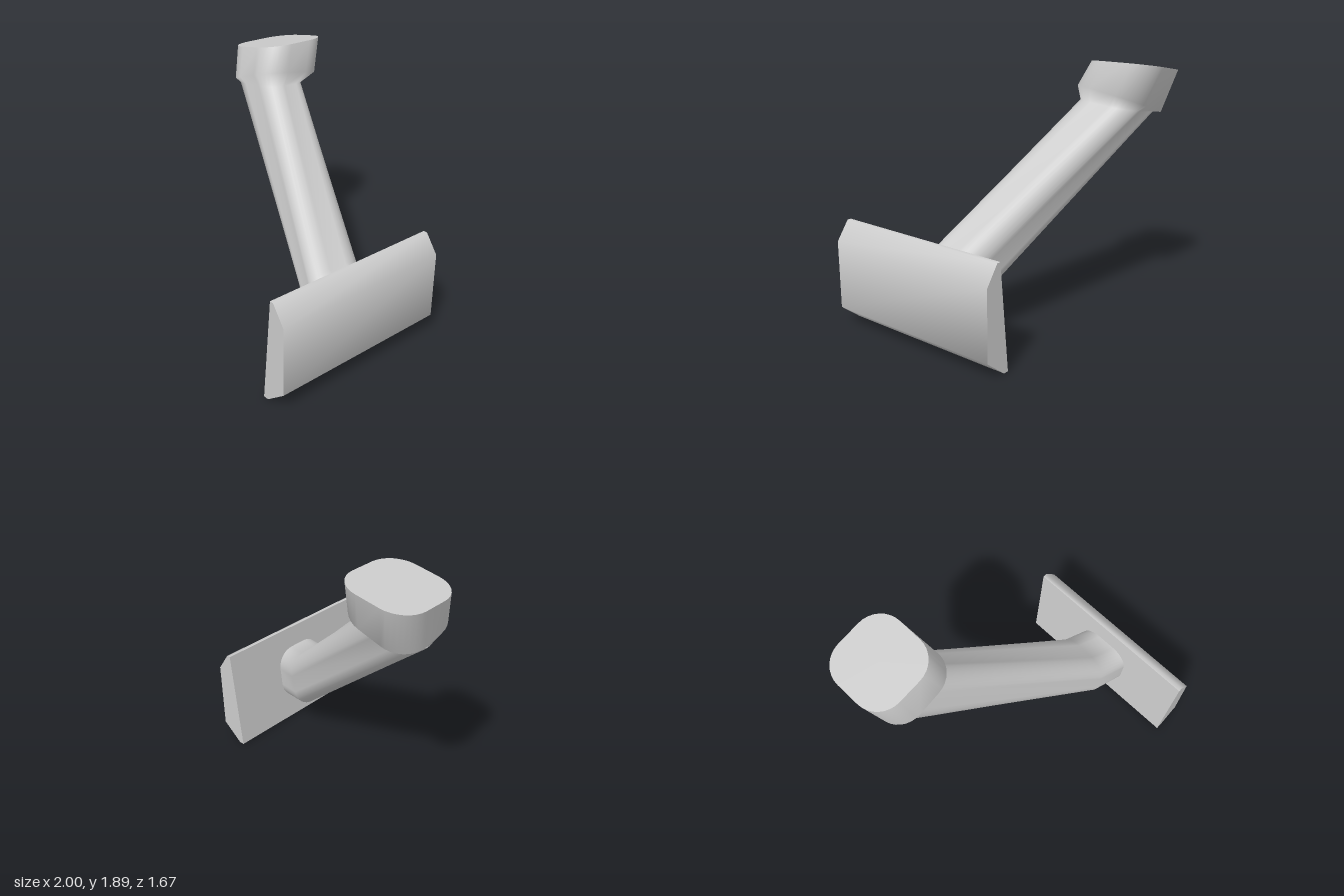
import * as THREE from 'three';
import { toCreasedNormals } from 'three/addons/utils/BufferGeometryUtils.js';

const material = new THREE.MeshStandardMaterial({ color: 0xcccccc });

// Unit rounded square as [u, v] pairs, running round from the u axis
function roundedSquare(radius = 0.68, steps = 8) {
  const points = [];
  const flat = 1 - radius;
  for (let corner = 0; corner < 4; corner++) {
    const mid = (corner + 0.5) * Math.PI / 2;
    const cu = Math.sign(Math.cos(mid)) * flat;
    const cv = Math.sign(Math.sin(mid)) * flat;
    for (let i = 0; i <= steps; i++) {
      const a = (corner + i / steps) * Math.PI / 2;
      points.push([cu + radius * Math.cos(a), cv + radius * Math.sin(a)]);
    }
  }
  return points;
}

const section = roundedSquare();

// Each ring has a centre and two half-width vectors, u and v
const rings = [
  { c: [0.84, 0.395, 0.12], u: [0.02, 0.215, 0], v: [0, 0, 0.22] },
  { c: [0.625, 0.43, 0.06], u: [0.045, 0.21, 0], v: [-0.01, 0, 0.22] },
  { c: [-0.68, 1.545, -0.44], u: [0.245, 0.035, 0], v: [0.04, 0.03, 0.216] },
  { c: [-0.66, 1.6, -0.47], u: [0.27, 0.085, 0], v: [0, 0.045, 0.28] },
  { c: [-0.7225, 1.8475, -0.555], u: [0.2775, 0.0475, 0], v: [0, 0, 0.285] },
];

function ringPoints({ c, u, v }) {
  return section.flatMap(([p, q]) => c.map((value, k) => value + u[k] * p + v[k] * q));
}

function makeGeometry(positions, index) {
  const geometry = new THREE.BufferGeometry();
  geometry.setAttribute('position', new THREE.Float32BufferAttribute(positions, 3));
  geometry.setIndex(index);
  geometry.computeVertexNormals();
  return geometry;
}

// Smooth skin through all rings
function loft() {
  const n = section.length;
  const index = [];
  for (let i = 0; i < rings.length - 1; i++) {
    for (let j = 0; j < n; j++) {
      const a = i * n + j, b = i * n + (j + 1) % n;
      index.push(a, a + n, b, b, a + n, b + n);
    }
  }
  return makeGeometry(rings.flatMap(ringPoints), index);
}

// Flat fan closing one ring
function cap(ring, atStart) {
  const n = section.length;
  const index = [];
  for (let j = 0; j < n; j++) {
    const a = j + 1, b = (j + 1) % n + 1;
    index.push(0, ...(atStart ? [a, b] : [b, a]));
  }
  return makeGeometry([...ring.c, ...ringPoints(ring)], index);
}

function addMesh(parent, name, geometry) {
  const mesh = new THREE.Mesh(geometry, material);
  mesh.name = name;
  parent.add(mesh);
  return mesh;
}

export function createModel() {
  const model = new THREE.Group();
  model.name = 'bracket';

  // Bent arm with its widened head
  const arm = new THREE.Group();
  arm.name = 'arm';
  addMesh(arm, 'armSkin', loft());
  addMesh(arm, 'armFoot', cap(rings[0], true));
  addMesh(arm, 'headTop', cap(rings.at(-1), false));
  model.add(arm);

  // Bevelled mounting plate, extruded along z
  const outline = [[0.8, 0], [0.84, 0], [1, 0.13], [1, 0.64], [0.9, 0.78], [0.87, 0.78]];
  const shape = new THREE.Shape(outline.map(([x, y]) => new THREE.Vector2(x, y)));
  const plate = new THREE.ExtrudeGeometry(shape, { depth: 1.42, bevelEnabled: false });
  addMesh(model, 'mountingPlate', toCreasedNormals(plate, 1)).position.z = -0.59;

  return model;
}
